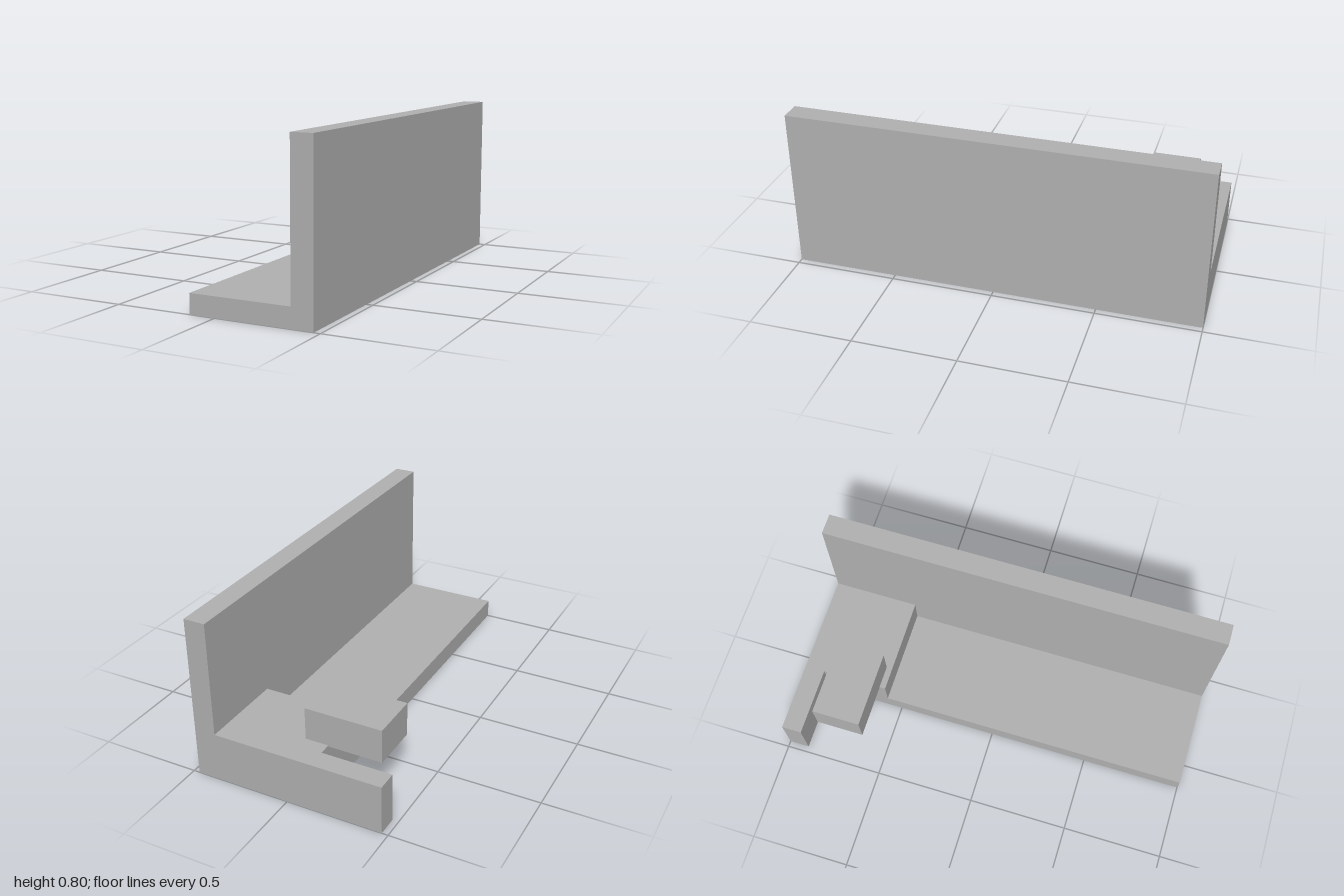
import * as THREE from 'three';

// Extrudes a plan outline of [x, z] points upward from y0 to y1.
function slab(name, outline, y0, y1, material, hole) {
  const shape = new THREE.Shape(outline.map(([x, z]) => new THREE.Vector2(x, -z)));
  if (hole) {
    shape.holes.push(new THREE.Path().absarc(hole.x, -hole.z, hole.r, 0, Math.PI * 2, true));
  }
  const geometry = new THREE.ExtrudeGeometry(shape, {
    depth: y1 - y0, bevelEnabled: false, curveSegments: 24,
  });
  geometry.rotateX(-Math.PI / 2);
  geometry.translate(0, y0, 0);
  const mesh = new THREE.Mesh(geometry, material);
  mesh.name = name;
  return mesh;
}

const rect = (x0, x1, z0, z1) => [[x0, z1], [x1, z1], [x1, z0], [x0, z0]];

export function createModel() {
  const group = new THREE.Group();
  group.name = 'bracket';
  const grey = new THREE.MeshStandardMaterial({ color: 0xb2b2b2 });
  grey.name = 'grey';

  const left = 0.47, wallInner = 0.365, baseEdge = -0.125, armEnd = -0.47;
  const back = -1, armFront = -0.9, ledgeFront = -0.57, front = 1;
  const baseTop = 0.095, ledgeTop = 0.24, wallTop = 0.8;

  // Plan with a thin arm reaching out at the back
  const planWithArm = (x1, z1) => [
    [baseEdge, z1], [x1, z1], [x1, back],
    [armEnd, back], [armEnd, armFront], [baseEdge, armFront],
  ];

  group.add(
    // Floor plate with a blind hole in its underside
    slab('basePlate', planWithArm(left, front), 0, baseTop, grey, { x: 0.37, z: -0.957, r: 0.032 }),
    // Raised back ledge and the upper part of the arm
    slab('ledgeAndArm', planWithArm(wallInner, ledgeFront), baseTop, ledgeTop, grey),
    // Tall side wall
    slab('sideWall', rect(wallInner, left, back, front), baseTop, wallTop, grey),
    // Block resting on the ledge, overhanging its edge
    slab('block', rect(-0.39, -0.01, -0.84, -0.6), 0.235, 0.4, grey),
  );
  return group;
}
